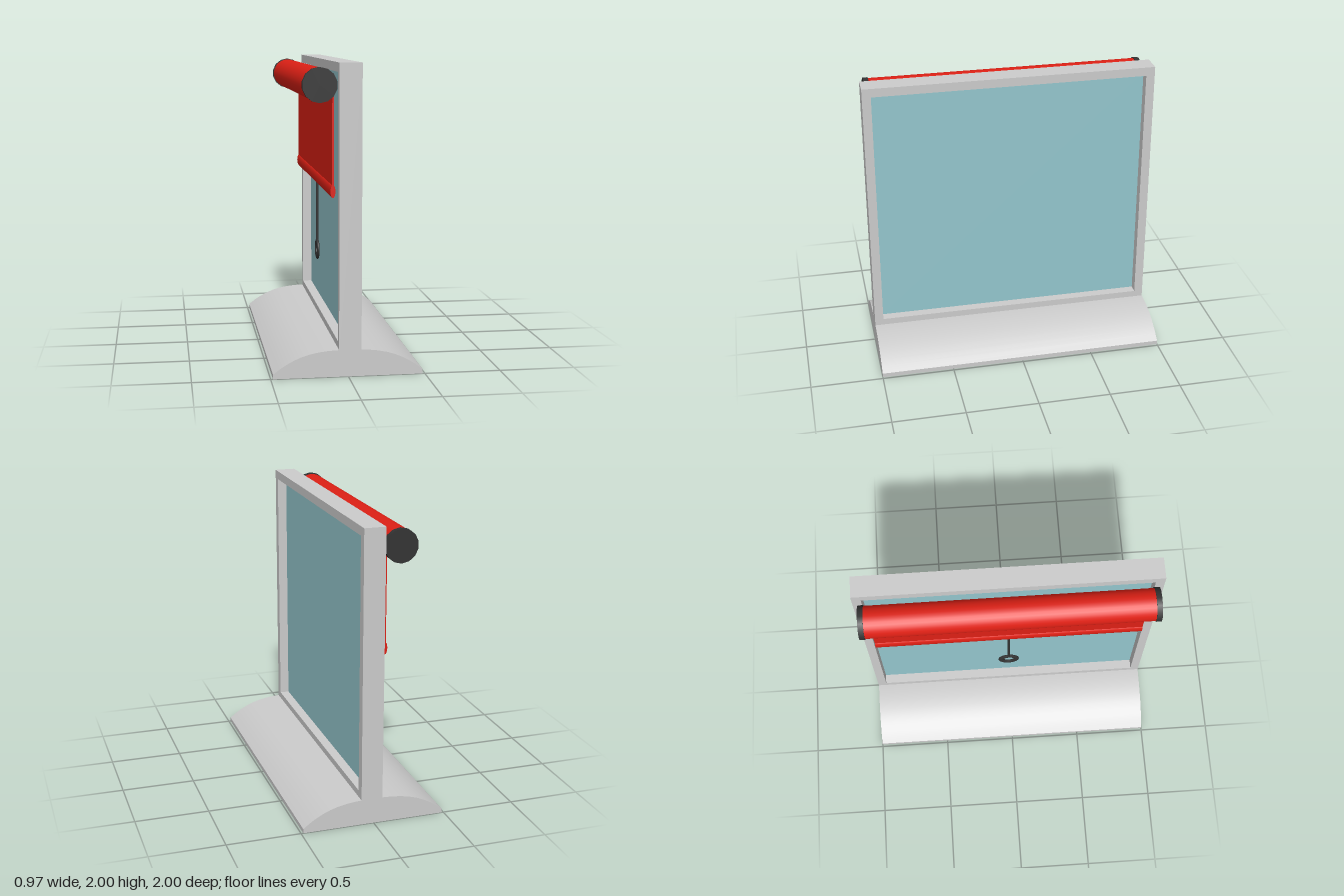
import * as THREE from 'three';
import { toCreasedNormals } from 'three/addons/utils/BufferGeometryUtils.js';

const paint = (color) => new THREE.MeshStandardMaterial({ color });

export function createModel() {
  const group = new THREE.Group();
  const grey = paint(0xcccccc);
  const glass = paint(0x93c5cc);
  const red = paint(0xdd2015);
  const dark = paint(0x333333);

  function add(name, geometry, material, x = 0, y = 0, z = 0) {
    const mesh = new THREE.Mesh(geometry, material);
    mesh.name = name;
    mesh.position.set(x, y, z);
    group.add(mesh);
    return mesh;
  }

  // Sill base: domed profile swept along z
  const half = [[0.485, 0], [0.485, 0.03], [0.44, 0.064], [0.40, 0.09], [0.35, 0.117],
    [0.30, 0.138], [0.25, 0.153], [0.19, 0.165], [0.13, 0.172], [0.07, 0.175]];
  const profile = [...half, ...half.map(([x, y]) => [-x, y]).reverse()];
  const baseShape = new THREE.Shape(profile.map(([x, y]) => new THREE.Vector2(x, y)));
  const base = new THREE.ExtrudeGeometry(baseShape, { depth: 2, bevelEnabled: false });
  add('base', toCreasedNormals(base, 0.4), grey, 0, 0, -1);

  // Window frame: rectangle with an opening, extruded across x
  const rect = (P, w, y0, y1) => new P([[-w, y0], [w, y0], [w, y1], [-w, y1]]
    .map(([x, y]) => new THREE.Vector2(x, y)));
  const frameShape = rect(THREE.Shape, 1, 0.165, 2);
  frameShape.holes.push(rect(THREE.Path, 0.94, 0.22, 1.94));
  const frame = new THREE.ExtrudeGeometry(frameShape, { depth: 0.145, bevelEnabled: false });
  frame.rotateY(Math.PI / 2);
  add('frame', frame, grey, -0.06);

  // Pane set in the middle of the frame
  add('pane', new THREE.BoxGeometry(0.015, 1.72, 1.88), glass, 0.0125, 1.08, 0);

  // Blind roller with its end caps
  const rollX = -0.178, rollY = 1.86;
  const roller = new THREE.CylinderGeometry(0.106, 0.106, 1.86, 32).rotateX(Math.PI / 2);
  add('roller', roller, red, rollX, rollY, 0);
  for (const side of [-1, 1]) {
    const cap = new THREE.CylinderGeometry(0.112, 0.112, 0.036, 14).rotateX(Math.PI / 2);
    add('rollerCap', cap, dark, rollX, rollY, side * 0.947);
  }

  // Hanging cloth and its flattened hem bar
  add('cloth', new THREE.BoxGeometry(0.01, 0.67, 1.85), red, -0.09, 1.525, 0);
  const hem = new THREE.CylinderGeometry(1, 1, 1.85, 16).rotateX(Math.PI / 2);
  hem.scale(0.016, 0.042, 1);
  add('hem', hem, red, -0.09, 1.187, 0);

  // Pull cord with a ring
  add('cord', new THREE.CylinderGeometry(0.01, 0.01, 0.8, 10), dark, -0.07, 1.12, 0);
  const ring = new THREE.TorusGeometry(0.055, 0.02, 10, 28).rotateY(Math.PI / 2);
  ring.scale(0.5, 1, 1);
  add('pullRing', ring, dark, -0.07, 0.65, 0);

  return group;
}
